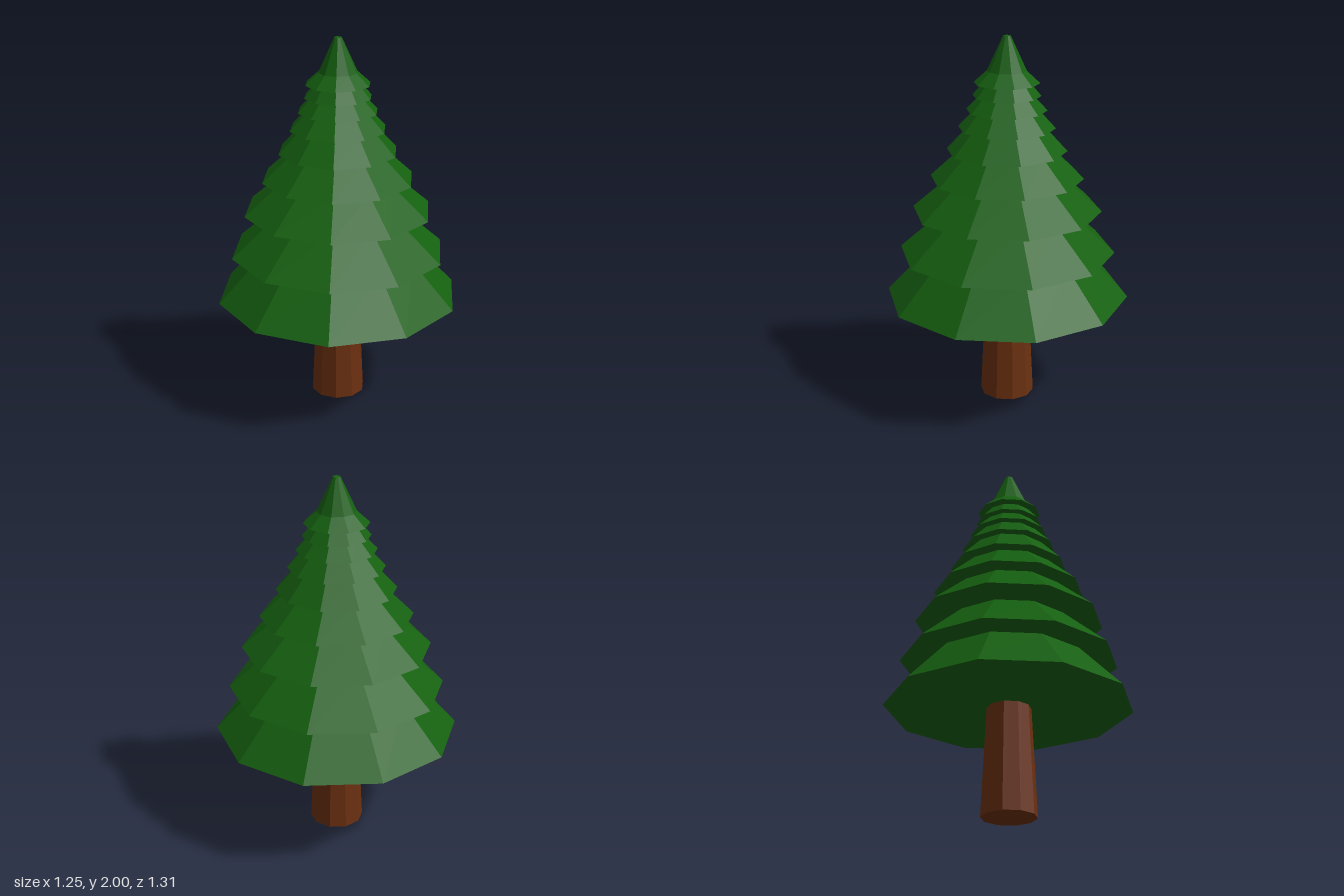
import * as THREE from 'three';

const SIDES = 10;

export function createModel() {
  const tree = new THREE.Group();
  tree.name = 'pineTree';
  const bark = new THREE.MeshStandardMaterial({ color: 0x6b3010, flatShading: true });
  const needles = new THREE.MeshStandardMaterial({ color: 0x156010, flatShading: true });

  // Closed ten-sided frustum standing between two heights
  function frustum(name, material, y0, y1, r0, r1) {
    const mesh = new THREE.Mesh(new THREE.CylinderGeometry(r1, r0, y1 - y0, SIDES), material);
    mesh.position.y = (y0 + y1) / 2;
    mesh.name = name;
    tree.add(mesh);
  }

  // Tapered trunk, running up into the foliage
  frustum('trunk', bark, 0, 1.15, 0.146, 0.09);

  // Foliage tiers: bottom height, top height, bottom radius, top radius
  const tiers = [
    [0.585, 0.838, 0.656, 0.418],
    [0.838, 1.062, 0.579, 0.328],
    [1.07, 1.248, 0.505, 0.3],
    [1.248, 1.398, 0.407, 0.246],
    [1.398, 1.52, 0.318, 0.205],
    [1.52, 1.614, 0.256, 0.168],
    [1.614, 1.69, 0.212, 0.138],
    [1.69, 1.757, 0.179, 0.122],
    [1.757, 1.82, 0.172, 0.103],
  ];
  tiers.forEach(([y0, y1, r0, r1], i) => frustum(`foliageTier${i + 1}`, needles, y0, y1, r0, r1));

  // Steeper blunt tip
  frustum('treeTip', needles, 1.82, 2, 0.103, 0.02);

  return tree;
}
